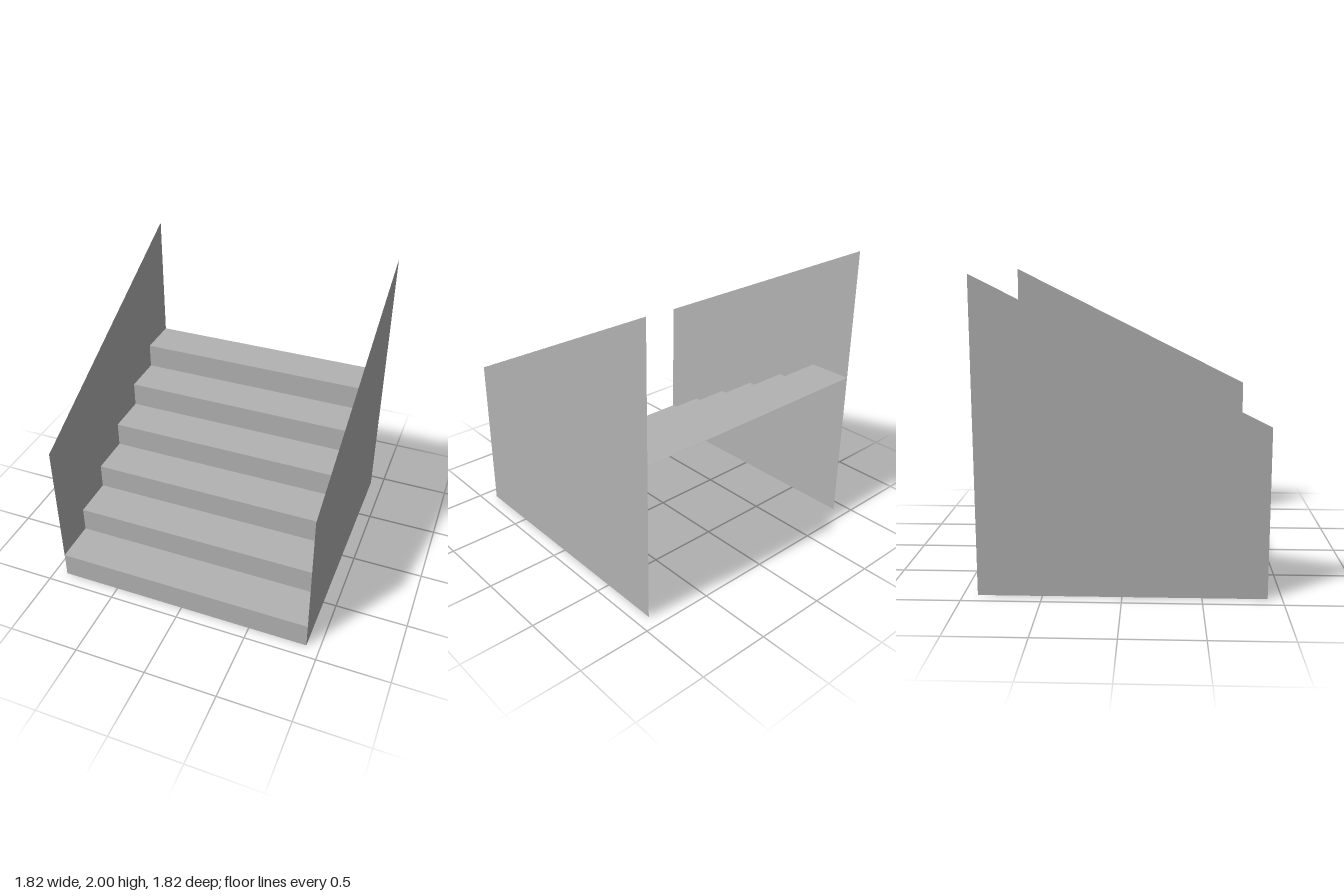
import * as THREE from 'three';

const HALF = 1 / 1.1;        // half the width and half the depth
const STEPS = 6;
const RISE = 2 * HALF * 0.6 / STEPS;
const RUN = 2 * HALF / STEPS;

export function createModel() {
  const group = new THREE.Group();
  group.name = 'staircase';
  const grey = new THREE.MeshStandardMaterial({ color: 0xb2b2b2, side: THREE.DoubleSide });
  grey.name = 'plain grey';

  const add = (name, geometry) => {
    const mesh = new THREE.Mesh(geometry, grey);
    mesh.name = name;
    group.add(mesh);
    return mesh;
  };

  // Folded sheet of risers and treads, open underneath
  for (let i = 0; i < STEPS; i++) {
    const front = HALF - i * RUN;
    add(`riser${i + 1}`, new THREE.PlaneGeometry(2 * HALF, RISE))
      .position.set(0, (i + 0.5) * RISE, front);
    add(`tread${i + 1}`, new THREE.PlaneGeometry(2 * HALF, RUN).rotateX(-Math.PI / 2))
      .position.set(0, (i + 1) * RISE, front - RUN / 2);
  }

  // Thin side walls with sloping tops, rising towards the back
  const outline = new THREE.Shape([
    new THREE.Vector2(-HALF, 0),
    new THREE.Vector2(HALF, 0),
    new THREE.Vector2(HALF, 2),
    new THREE.Vector2(-HALF, STEPS * RISE),
  ]);
  for (const [name, side] of [['leftWall', 1], ['rightWall', -1]]) {
    add(name, new THREE.ShapeGeometry(outline).rotateY(Math.PI / 2)).position.x = side * HALF;
  }
  return group;
}
